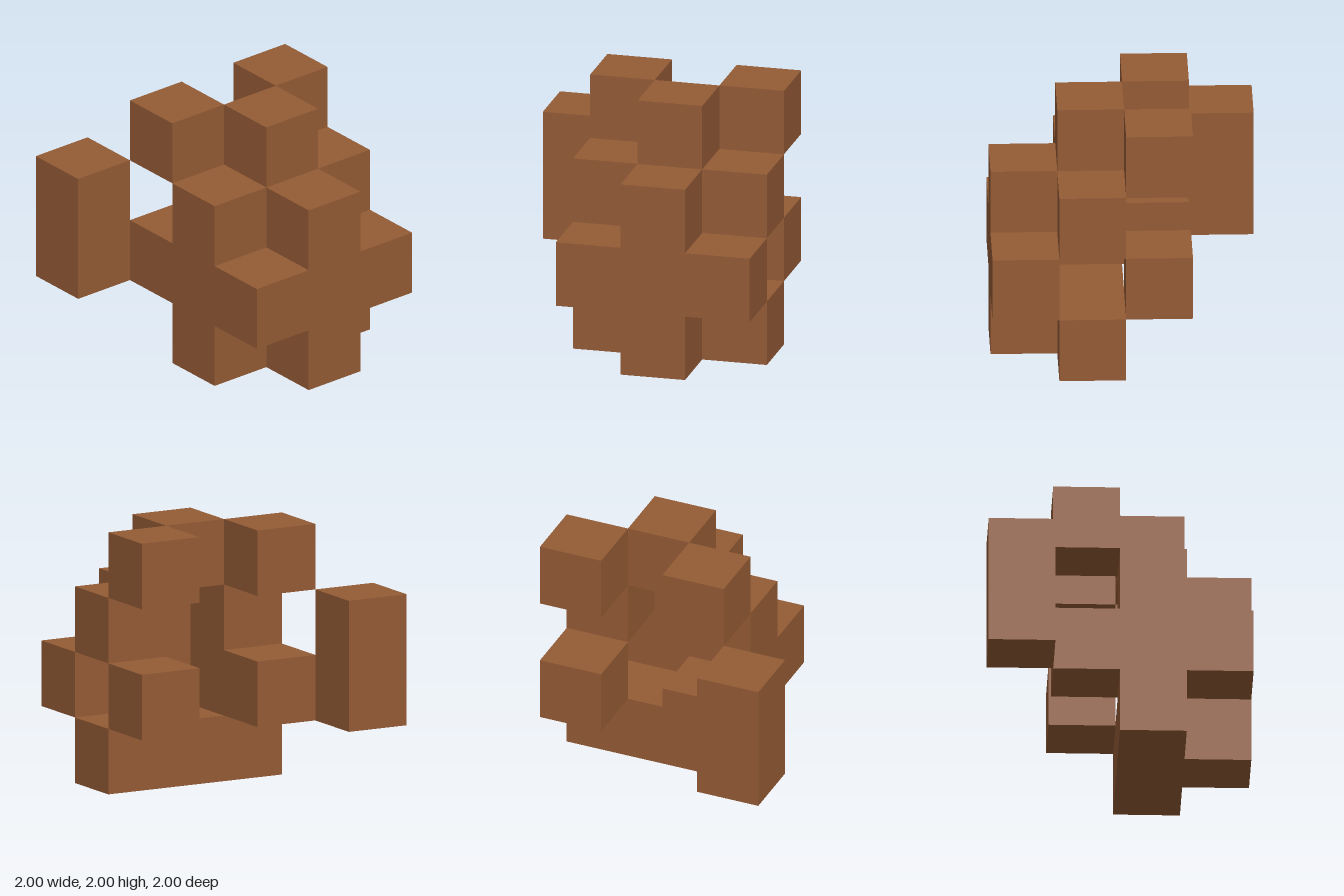
import * as THREE from 'three';

const CELL = 0.5;

export function createModel() {
  const model = new THREE.Group();
  model.name = 'blockSculpture';
  const brown = new THREE.MeshStandardMaterial({ color: 0x945b35 });
  brown.name = 'brown';

  // Block from a grid cell (x, y, z counted from left, bottom, back) and its size in cells
  function block(name, [x, y, z], [w, h, d] = [1, 1, 1]) {
    const mesh = new THREE.Mesh(new THREE.BoxGeometry(w * CELL, h * CELL, d * CELL), brown);
    mesh.name = name;
    mesh.position.set((x + w / 2 - 2) * CELL, (y + h / 2) * CELL, (z + d / 2 - 2) * CELL);
    model.add(mesh);
  }

  // Front cross
  block('frontPost', [2, 0, 3], [1, 3, 1]);
  // Base bar behind the cross
  block('baseBar', [1, 0, 2], [3, 1, 1]);
  // Blocks repeated on both sides
  for (const [side, x] of [['right', 1], ['left', 3]]) {
    block(side + 'CrossArm', [x, 1, 3]);
    block(side + 'Shoulder', [x, 2, 2]);
    block(side + 'LowerBackBlock', [x, 1, 1]);
    block(side + 'UpperBackBlock', [x, 3, 1]);
  }
  // Single blocks
  block('rightInnerLink', [1, 1, 2]);
  block('topBlock', [2, 3, 2]);
  block('backPillar', [0, 1, 0], [1, 2, 1]);

  return model;
}
